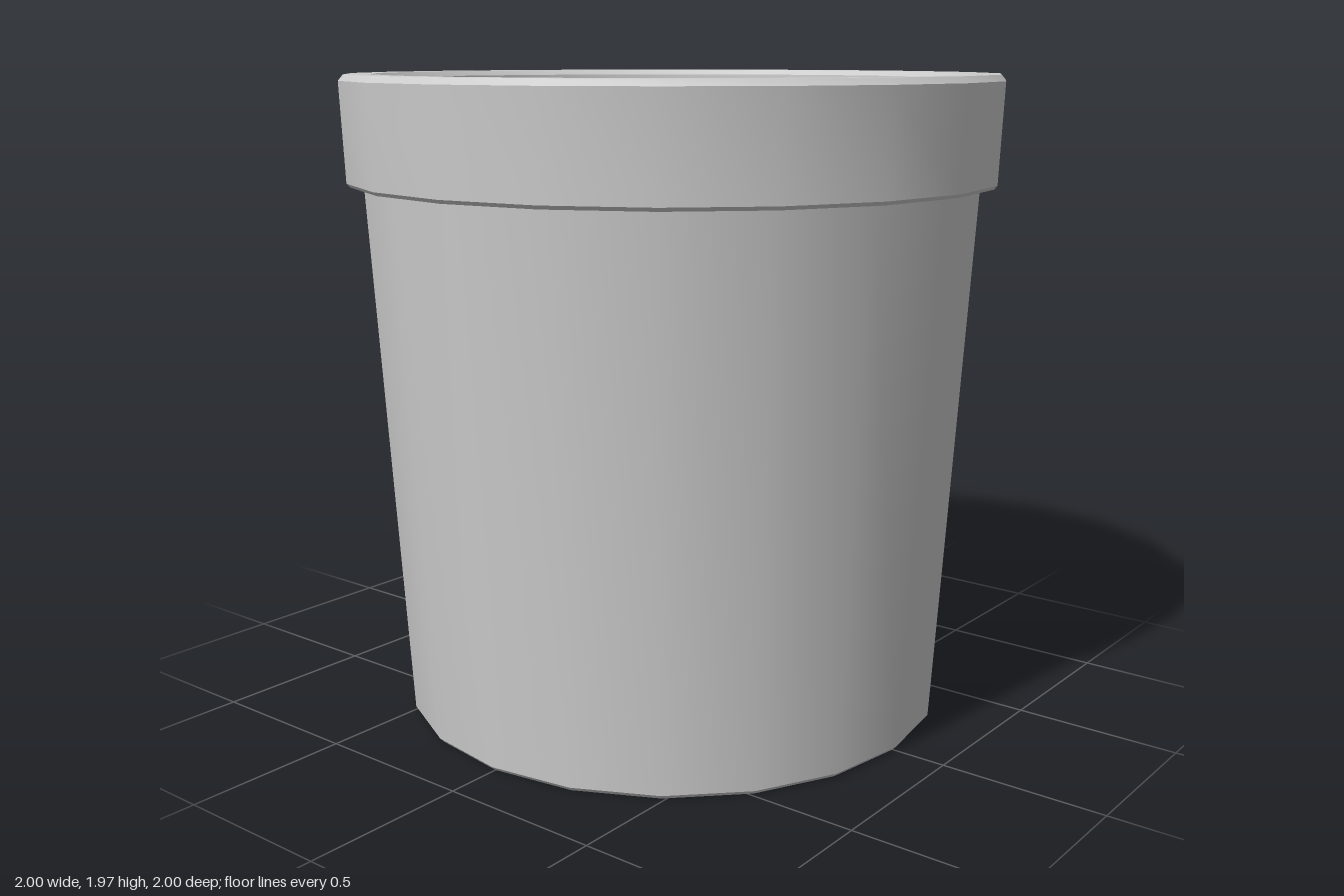
import * as THREE from 'three';
import { toCreasedNormals } from 'three/addons/utils/BufferGeometryUtils.js';

const SIDES = 20;
const material = new THREE.MeshStandardMaterial({ color: 0xcccccc });

// Turn a profile of [radius, height] points, smooth around and sharp at the bevels
function turned(name, profile) {
  const points = profile.map(([r, y]) => new THREE.Vector2(r, y));
  const geometry = toCreasedNormals(new THREE.LatheGeometry(points, SIDES), 0.5);
  const mesh = new THREE.Mesh(geometry, material);
  mesh.name = name;
  return mesh;
}

export function createModel() {
  const pot = new THREE.Group();
  pot.name = 'flowerPot';

  // Underside, bevelled foot and tapering outer wall
  pot.add(turned('outerWall', [[0, 0], [0.83, 0], [0.842, 0.013], [0.938, 1.643]]));

  // Thick collar: underside, outer band, bevelled lip
  pot.add(turned('rim', [
    [0.938, 1.643], [0.978, 1.643], [0.988, 1.654], [1, 1.948],
    [0.985, 1.966], [0.905, 1.966], [0.89, 1.95],
  ]));

  // Inner wall running down to the floor
  pot.add(turned('interior', [[0.89, 1.95], [0.78, 0.065], [0, 0.065]]));

  return pot;
}
